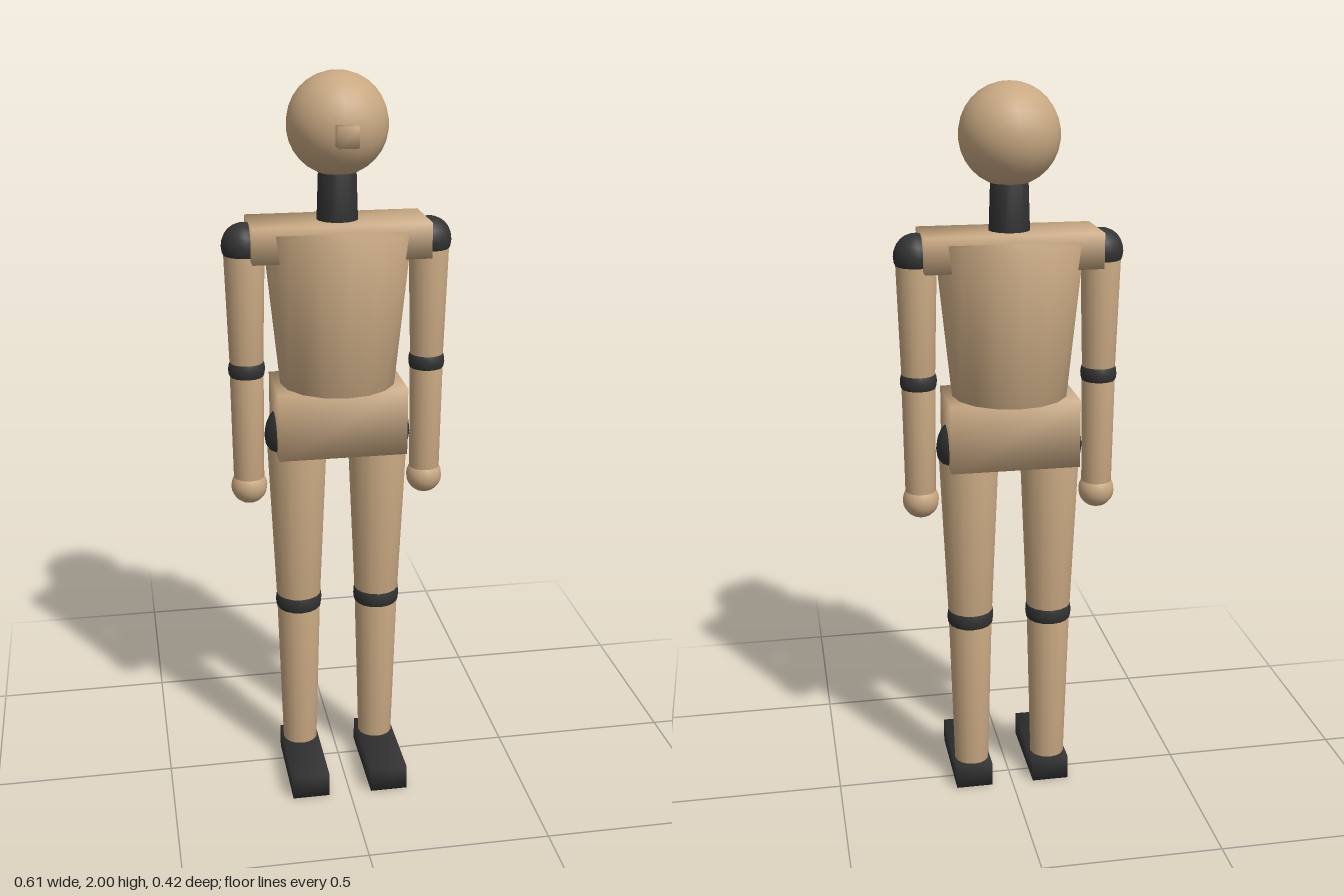
import * as THREE from 'three';
import { mergeVertices } from 'three/addons/utils/BufferGeometryUtils.js';

const Z = -0.0125; // depth of the body's axis

// Share vertices so every part is shaded smoothly, even across its edges
function soften(geometry) {
  geometry.deleteAttribute('normal');
  geometry.deleteAttribute('uv');
  const merged = mergeVertices(geometry, 1e-4);
  merged.computeVertexNormals();
  return merged;
}

export function createModel() {
  const model = new THREE.Group();
  model.name = 'mannequin';

  const wood = new THREE.MeshStandardMaterial({ color: 0xc8a882 });
  wood.name = 'wood';
  const joint = new THREE.MeshStandardMaterial({ color: 0x333333 });
  joint.name = 'dark joint';

  function add(name, geometry, material, x, y, z = Z) {
    const mesh = new THREE.Mesh(soften(geometry), material);
    mesh.name = name;
    mesh.position.set(x, y, z);
    model.add(mesh);
  }
  const ball = (name, material, r, x, y, sides = 16) =>
    add(name, new THREE.SphereGeometry(r, sides, sides * 0.75), material, x, y);
  const taper = (name, material, rTop, rBottom, yTop, yBottom, x = 0) =>
    add(name, new THREE.CylinderGeometry(rTop, rBottom, yTop - yBottom, 16), material, x, (yTop + yBottom) / 2);
  const block = (name, material, w, h, d, x, y, z) =>
    add(name, new THREE.BoxGeometry(w, h, d), material, x, y, z);

  // Head and neck
  ball('head', wood, 0.133, 0, 1.867, 20);
  block('nose', wood, 0.052, 0.052, 0.06, 0, 1.856, 0.134);
  taper('neck', joint, 0.05, 0.056, 1.77, 1.59);

  // Trunk
  taper('torso', wood, 0.2, 0.157, 1.6, 1.177);
  block('shoulderBlock', wood, 0.47, 0.094, 0.186, 0, 1.574);
  block('pelvis', wood, 0.35, 0.187, 0.21, 0, 1.083);

  // Limbs, mirrored on both sides
  for (const [side, s] of [['left', 1], ['right', -1]]) {
    const arm = 0.247 * s;
    ball(side + 'Shoulder', joint, 0.06, arm, 1.56);
    taper(side + 'UpperArm', wood, 0.055, 0.045, 1.56, 1.223, arm);
    ball(side + 'Elbow', joint, 0.05, arm, 1.223);
    taper(side + 'Forearm', wood, 0.046, 0.042, 1.223, 0.91, arm);
    ball(side + 'Hand', wood, 0.05, arm, 0.885);

    const leg = 0.1125 * s;
    ball(side + 'Hip', joint, 0.09, leg, 1.03);
    taper(side + 'Thigh', wood, 0.084, 0.062, 1.03, 0.528, leg);
    ball(side + 'Knee', joint, 0.066, leg, 0.528);
    taper(side + 'Shin', wood, 0.062, 0.049, 0.528, 0.06, leg);
    block(side + 'Foot', joint, 0.104, 0.07, 0.28, leg, 0.035, 0.07);
  }
  return model;
}
